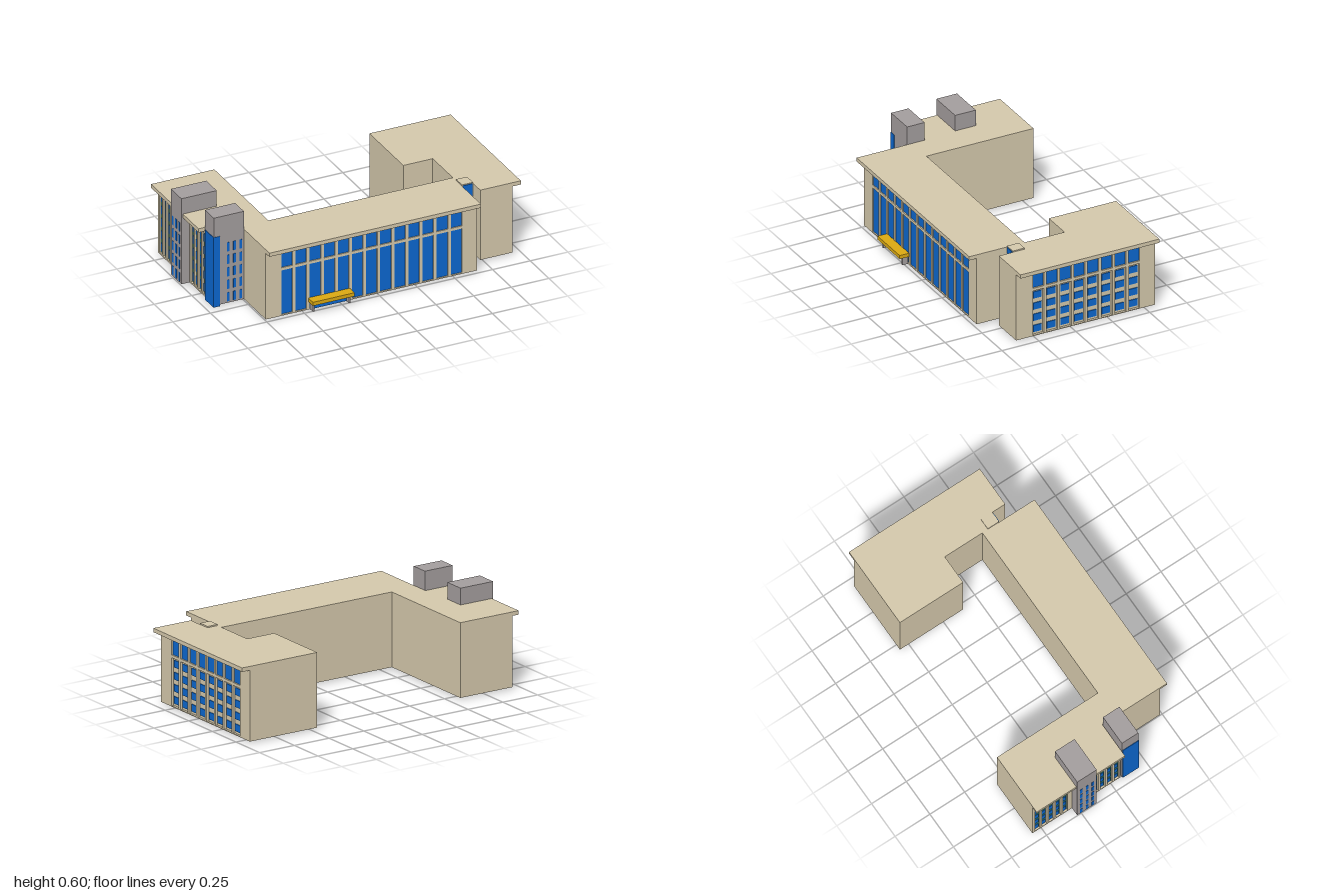
import * as THREE from 'three';

const mat = (color) => new THREE.MeshStandardMaterial({ color });
const TAN = mat(0xd5c9ac), GREY = mat(0xa49e9e), BLUE = mat(0x0c68d0), GOLD = mat(0xdcaa12), TEAL = mat(0x3f8a74);

export function createModel() {
  const model = new THREE.Group();

  function add(parent, name, geometry, material) {
    const mesh = new THREE.Mesh(geometry, material);
    mesh.name = name;
    parent.add(mesh);
    return mesh;
  }

  // Box given by its two extreme corners
  function box(parent, name, material, x0, x1, y0, y1, z0, z1) {
    const g = new THREE.BoxGeometry(x1 - x0, y1 - y0, z1 - z0);
    g.translate((x0 + x1) / 2, (y0 + y1) / 2, (z0 + z1) / 2);
    return add(parent, name, g, material);
  }

  // Floor plan of [x, z] corners raised from y0 to y1
  function block(name, plan, y0, y1) {
    const shape = new THREE.Shape(plan.map(([x, z]) => new THREE.Vector2(x, -z)));
    const g = new THREE.ExtrudeGeometry(shape, { depth: y1 - y0, bevelEnabled: false });
    g.rotateX(-Math.PI / 2);
    g.translate(0, y0, 0);
    return add(model, name, g, TAN);
  }

  const rect = (path, x0, x1, y0, y1) => {
    path.moveTo(x0, y0);
    path.lineTo(x1, y0);
    path.lineTo(x1, y1);
    path.lineTo(x0, y1);
    path.closePath();
    return path;
  };

  // Pierced wall slab, drawn in its own x/y plane with z = 0 at the back
  const SLAB = 0.015;
  function facade(name, x0, x1, y0, y1, holes) {
    const group = new THREE.Group();
    group.name = name;
    const shape = rect(new THREE.Shape(), x0, x1, y0, y1);
    holes.forEach((h) => shape.holes.push(rect(new THREE.Path(), ...h)));
    add(group, name + 'Wall', new THREE.ExtrudeGeometry(shape, { depth: SLAB, bevelEnabled: false }), TAN);
    model.add(group);
    return group;
  }

  // Main building: left wing and front range
  block('mainBody', [[-0.93, -0.565], [-0.57, -0.565], [-0.57, 0.16], [0.655, 0.16], [0.655, 0.47],
    [-0.75, 0.47], [-0.75, 0.07], [-0.93, 0.07]], 0.01, 0.455);
  block('mainRoof', [[-0.99, -0.565], [-0.57, -0.565], [-0.57, 0.16], [0.655, 0.16], [0.655, 0.535],
    [-0.75, 0.535], [-0.75, 0.07], [-0.99, 0.07]], 0.455, 0.48);

  // Right wing
  block('rightWingBody', [[0.46, -0.565], [0.93, -0.565], [0.93, 0.375], [0.73, 0.375], [0.73, 0.27],
    [0.655, 0.27], [0.655, -0.11], [0.46, -0.11]], 0.01, 0.455);
  block('rightWingRoof', [[0.46, -0.565], [1, -0.565], [1, 0.375], [0.73, 0.375], [0.73, 0.27],
    [0.655, 0.27], [0.655, -0.11], [0.46, -0.11]], 0.455, 0.48);

  // Front facade: 13 bays of tall glazing with a row of windows above
  const frontBays = [];
  for (let i = 0; i < 13; i++) {
    const x = -0.645 + i * 0.0937;
    frontBays.push([x, x + 0.074, 0.018, 0.315], [x, x + 0.074, 0.333, 0.445]);
  }
  const front = facade('frontFacade', -0.75, 0.655, 0.01, 0.455, frontBays);
  front.position.z = 0.47;
  frontBays.forEach(([x0, x1, y0, y1]) => box(front, 'frontWindow', BLUE, x0, x1, y0, y1, 0, 0.008));

  // Right facade: 8 recessed bays with four panes each, large windows above
  const rightHoles = [], rightPanes = [];
  for (let i = 0; i < 8; i++) {
    const x = -0.262 + i * 0.0927;
    rightHoles.push([x, x + 0.075, 0.015, 0.315], [x, x + 0.075, 0.333, 0.445]);
    rightPanes.push([x, x + 0.075, 0.333, 0.445]);
    for (let j = 0; j < 4; j++) {
      const y = 0.03 + j * 0.0755;
      rightPanes.push([x + 0.009, x + 0.066, y, y + 0.045]);
    }
  }
  const right = facade('rightFacade', -0.375, 0.565, 0.01, 0.455, rightHoles);
  right.rotation.y = Math.PI / 2;
  right.position.x = 0.93;
  rightPanes.forEach(([x0, x1, y0, y1]) => box(right, 'rightWindow', BLUE, x0, x1, y0, y1, 0, 0.005));

  // Left facade: narrow bays on both sides of the rear tower
  const leftBays = [];
  for (const [start, count] of [[-0.545, 5], [-0.125, 4]]) {
    for (let i = 0; i < count; i++) {
      const z = start + i * 0.05;
      leftBays.push([z, z + 0.034, 0.02, 0.435]);
    }
  }
  const left = facade('leftFacade', -0.565, 0.07, 0.01, 0.455, leftBays);
  left.rotation.y = -Math.PI / 2;
  left.position.x = -0.93;
  leftBays.forEach(([z0, z1, y0, y1]) => {
    box(left, 'leftBayPanel', TEAL, z0, z1, y0, y1, 0, 0.003);
    for (let j = 0; j < 5; j++) {
      const y = 0.03 + j * 0.083;
      box(left, 'leftWindow', BLUE, z0 + 0.005, z1 - 0.005, y, y + 0.055, 0, 0.006);
    }
  });

  // Stair towers with slit windows
  box(model, 'frontTower', GREY, -0.95, -0.75, 0.01, 0.6, 0.075, 0.193);
  box(model, 'rearTower', GREY, -1, -0.765, 0.01, 0.585, -0.28, -0.14);
  box(model, 'towerCornerGlass', BLUE, -0.953, -0.91, 0, 0.47, 0.08, 0.196);
  for (let j = 0; j < 5; j++) {
    const y = 0.02 + j * 0.084;
    for (let i = 0; i < 3; i++) {
      const x = -0.863 + i * 0.042;
      box(model, 'frontTowerSlit', BLUE, x, x + 0.017, y, y + 0.06, 0.19, 0.195);
      const z = -0.26 + i * 0.042;
      box(model, 'rearTowerSlit', BLUE, -1.002, -0.998, y, y + 0.06, z, z + 0.017);
    }
  }

  // Glazed link between the front range and the right wing
  box(model, 'linkWall', TAN, 0.656, 0.729, 0.005, 0.488, 0.2, 0.28);
  for (const [y0, y1] of [[0.012, 0.1], [0.13, 0.192], [0.207, 0.275], [0.29, 0.355], [0.37, 0.482]]) {
    box(model, 'linkWindow', BLUE, 0.662, 0.722, y0, y1, 0.27, 0.284);
  }

  // Entrance canopy on two side walls
  box(model, 'canopy', GOLD, -0.467, -0.19, 0.064, 0.088, 0.483, 0.547);
  for (const x of [-0.455, -0.215]) {
    box(model, 'canopySupport', GREY, x, x + 0.012, 0.01, 0.064, 0.483, 0.521);
  }
  box(model, 'entranceDoor', BLUE, -0.443, -0.215, 0.01, 0.058, 0.48, 0.487);

  return model;
}
